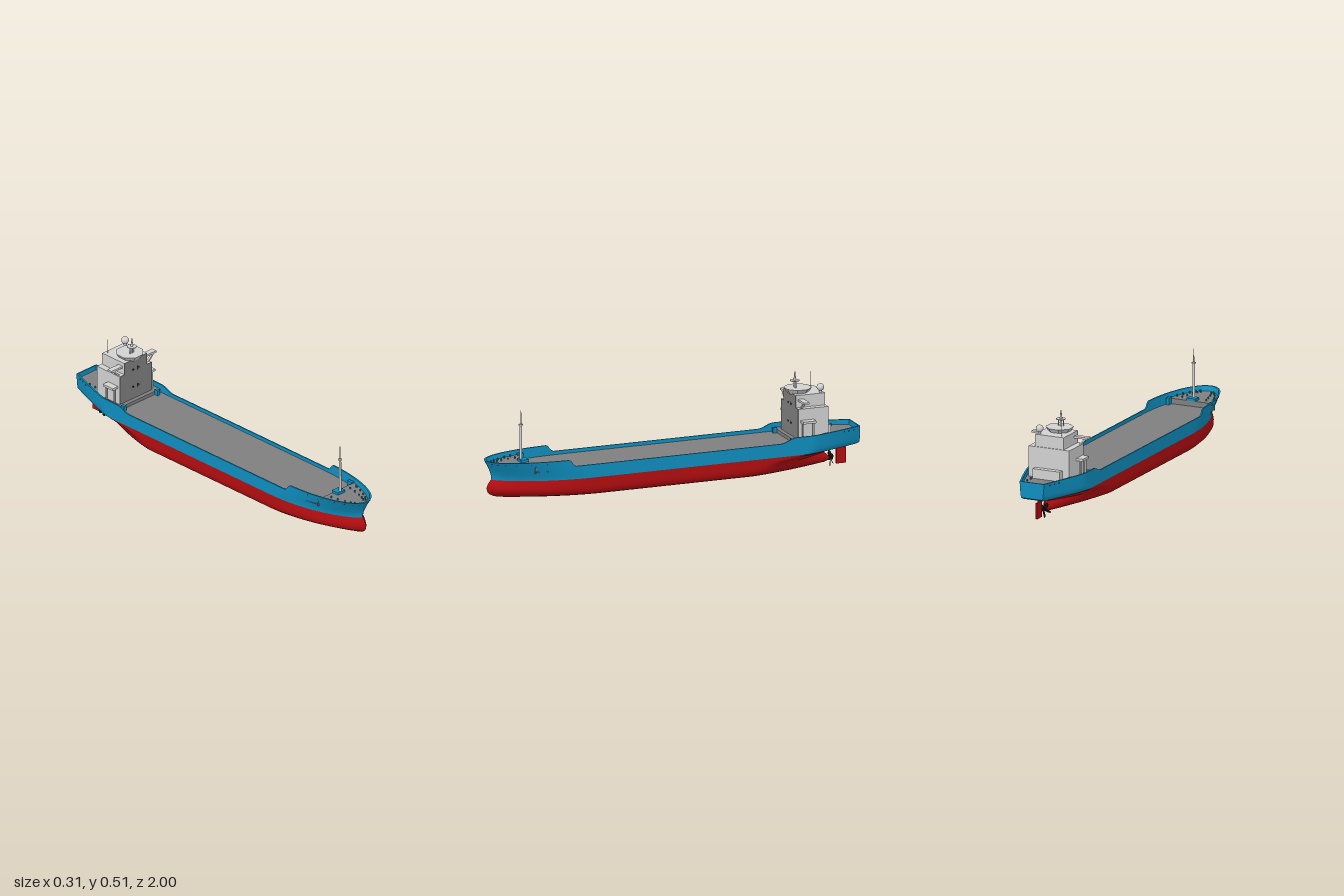
import * as THREE from 'three';
import { toCreasedNormals } from 'three/addons/utils/BufferGeometryUtils.js';

const mat = (name, color) => {
  const m = new THREE.MeshStandardMaterial({ color });
  m.name = name;
  return m;
};

export function createModel() {
  const ship = new THREE.Group();
  ship.name = 'cargoShip';
  const blue = mat('hullBlue', 0x0f8fc0), red = mat('hullRed', 0xb40d10);
  const grey = mat('deckGrey', 0x7f7f7f), white = mat('paleGrey', 0xd2d2d2);
  const black = mat('black', 0x141414), navy = mat('fairleadBlue', 0x0a4a66);

  const add = (name, geo, material, x = 0, y = 0, z = 0, parent = ship) => {
    const m = new THREE.Mesh(geo, material);
    m.name = name;
    m.position.set(x, y, z);
    parent.add(m);
    return m;
  };
  // box given by its min and max corners
  const box = (name, material, x0, x1, y0, y1, z0, z1) =>
    add(name, new THREE.BoxGeometry(x1 - x0, y1 - y0, z1 - z0), material, (x0 + x1) / 2, (y0 + y1) / 2, (z0 + z1) / 2);
  // upright round post from y0 to y1
  const post = (name, material, x, z, y0, y1, r0, r1 = r0, n = 12) =>
    add(name, new THREE.CylinderGeometry(r1, r0, y1 - y0, n), material, x, (y0 + y1) / 2, z);

  // ---- hull: waterlines [height, half width, bow z, bow length, p, q, stern z, transom half width, stern length, ps]
  const WL = 0.122, N = 160;
  const lower = [
    [0.026, 0.095, 0.89, 0.5, 1.8, 1.0, -0.80, 0.003, 0.42, 1.5],
    [0.030, 0.127, 0.93, 0.5, 1.8, 1.0, -0.83, 0.004, 0.45, 1.4],
    [0.038, 0.144, 0.957, 0.5, 1.8, 0.95, -0.85, 0.008, 0.45, 1.4],
    [0.050, 0.153, 0.978, 0.5, 1.9, 0.85, -0.86, 0.008, 0.45, 1.4],
    [0.065, 0.157, 0.988, 0.5, 2.0, 0.8, -0.85, 0.006, 0.42, 1.5],
    [0.082, 0.157, 0.99, 0.5, 2.0, 0.8, -0.83, 0.006, 0.38, 1.6],
    [0.100, 0.157, 0.983, 0.5, 2.0, 0.8, -0.87, 0.012, 0.36, 1.6],
    [0.112, 0.157, 0.974, 0.5, 2.0, 0.8, -0.94, 0.035, 0.34, 1.4],
    [WL, 0.157, 0.966, 0.5, 2.0, 0.78, -0.985, 0.055, 0.3, 1.25],
  ];
  // upper heights are fractions from the waterline to the sheer
  const upper = [
    [0, ...lower[8].slice(1)],
    [0.1, 0.157, 0.965, 0.5, 2.0, 0.75, -1, 0.06, 0.29, 1.2],
    [0.3, 0.157, 0.968, 0.48, 2.0, 0.7, -1, 0.063, 0.28, 1.15],
    [0.6, 0.157, 0.98, 0.46, 2.05, 0.6, -1, 0.066, 0.28, 1.15],
    [1, 0.157, 1, 0.45, 2.1, 0.5, -1, 0.068, 0.28, 1.15],
    [1, 0.150, 0.99, 0.45, 2.1, 0.5, -0.993, 0.061, 0.28, 1.15],
    [2, 0.149, 0.978, 0.45, 2.1, 0.54, -0.992, 0.060, 0.28, 1.15],
  ];
  const clamp = (v) => Math.min(1, Math.max(0, v));
  const halfWidth = ([, wm, zb, Lb, p, q, zs, tw, Ls, ps], z) => {
    const tb = clamp((z - zb + Lb) / Lb), ts = clamp((zs + Ls - z) / Ls);
    return ts > 0 ? tw + (wm - tw) * (1 - ts ** ps) : wm * Math.max(0, 1 - tb ** p) ** q;
  };
  const smooth = (a, b, z) => THREE.MathUtils.smoothstep(z, a, b);
  const sheer = (z) => 0.19 + 0.034 * smooth(0.57, 0.605, z) + 0.025 * (1 - smooth(-0.62, -0.54, z));
  const deckY = (z) => (z > 0.775 ? 0.2 : z < -0.625 ? 0.19 : 0.172);
  const upperY = (f, z) => (f > 1 ? deckY(z) - 0.004 : WL + (sheer(z) - WL) * f);

  const skin = (rows, yAt, bottom) => {
    const pos = [], idx = [], M = 2 * N + 2;
    for (const row of rows) {
      for (let j = 0; j < M; j++) {
        const i = j <= N ? j : M - 1 - j;
        const z = row[6] + (row[2] - row[6]) * (1 - (1 - i / N) ** 1.6);
        pos.push((j <= N ? 1 : -1) * halfWidth(row, z), yAt(row[0], z), z);
      }
    }
    for (let k = 0; k < rows.length - 1; k++) {
      for (let j = 0; j < M; j++) {
        const a = k * M + j, b = k * M + ((j + 1) % M), c = b + M, d = a + M;
        idx.push(a, d, c, a, c, b);
      }
    }
    if (bottom) {
      for (let i = 0; i < N; i++) {
        const l = i, r = M - 1 - i;
        idx.push(r, l, l + 1, r, l + 1, r - 1);
      }
    }
    const g = new THREE.BufferGeometry();
    g.setAttribute('position', new THREE.Float32BufferAttribute(pos, 3));
    g.setIndex(idx);
    return toCreasedNormals(g, 0.7);
  };
  add('lowerHull', skin(lower, (y) => y, true), red);
  add('upperHullAndBulwark', skin(upper, upperY, false), blue);

  // ---- decks, fitted to the inside of the bulwark
  const deck = (name, z0, z1, y) => {
    const s = new THREE.Shape(), pts = [], n = 60;
    for (let i = 0; i <= n; i++) {
      const z = z0 + (z1 - z0) * (1 - (1 - i / n) ** 2);
      pts.push([halfWidth(upper[6], z) + 0.003, z]);
    }
    pts.forEach(([x, z], i) => (i ? s.lineTo(x, -z) : s.moveTo(x, -z)));
    pts.reverse().forEach(([x, z]) => s.lineTo(-x, -z));
    const g = new THREE.ShapeGeometry(s);
    g.rotateX(-Math.PI / 2);
    add(name, g, grey, 0, y, 0);
  };
  deck('mainDeck', -0.625, 0.775, 0.172);
  deck('foredeck', 0.775, 0.978, 0.2);
  deck('aftDeck', -0.992, -0.625, 0.19);
  box('foredeckBulkhead', grey, -0.132, 0.132, 0.165, 0.2, 0.775, 0.78);
  box('aftDeckBulkhead', grey, -0.15, 0.15, 0.165, 0.19, -0.63, -0.625);

  // ---- accommodation block
  box('lowerHouse', white, -0.113, 0.113, 0.185, 0.347, -0.81, -0.65);
  box('upperHouse', white, -0.08, 0.08, 0.347, 0.41, -0.805, -0.65);
  box('aftHouse', white, -0.075, 0.075, 0.185, 0.24, -0.84, -0.81);
  box('lowerHouseFront', grey, -0.113, 0.113, 0.19, 0.347, -0.65, -0.647);
  box('upperHouseFront', grey, -0.08, 0.08, 0.347, 0.41, -0.65, -0.647);
  for (const y of [0.256, 0.354]) {
    for (const [x, h] of [[-0.021, 0.008], [-0.015, 0.008], [0.013, 0.02], [0.021, 0.008]])
      box('frontWindow', black, x - 0.0012, x + 0.0012, y - h / 2, y + h / 2, -0.647, -0.645);
  }
  for (const s of [-1, 1]) {
    const span = (a, b) => (s > 0 ? [a, b] : [-b, -a]);
    box('lowerWing', white, ...span(0.11, 0.15), 0.277, 0.289, -0.73, -0.66);
    for (const z of [-0.665, -0.722]) box('wingPost', white, ...span(0.128, 0.136), 0.185, 0.278, z - 0.004, z + 0.004);
    box('bridgeWing', white, ...span(0.08, 0.157), 0.38, 0.39, -0.69, -0.66);
    const brace = add('wingBrace', new THREE.BoxGeometry(0.008, 0.052, 0.012), white, s * 0.122, 0.364, -0.667);
    brace.rotation.z = -s * 0.8;
  }

  // ---- wheelhouse top, mast, dome and aerial
  const octagon = new THREE.CylinderGeometry(0.0715, 0.052, 0.028, 8);
  octagon.rotateY(Math.PI / 8);
  add('wheelhouse', toCreasedNormals(octagon, 0.4), white, 0, 0.417, -0.69);
  const mz = -0.675;
  for (const x of [-0.013, 0.013]) post('mastLeg', white, x, mz, 0.43, 0.467, 0.0025);
  post('mastColumn', white, 0, mz, 0.43, 0.467, 0.005);
  post('mastPlatform', white, 0, mz, 0.465, 0.469, 0.024, 0.024, 20);
  post('mastTop', white, 0, mz, 0.469, 0.513, 0.007, 0.002);
  post('domeStalk', white, 0.063, -0.787, 0.405, 0.425, 0.008);
  add('radarDome', new THREE.SphereGeometry(0.019, 24, 16), white, 0.063, 0.437, -0.787);
  post('aerial', white, -0.06, -0.785, 0.405, 0.487, 0.0018);

  // ---- foremast
  box('foremastBase', blue, -0.025, 0.025, 0.2, 0.213, 0.772, 0.815);
  post('foremast', white, 0, 0.805, 0.2, 0.39, 0.007, 0.006);
  post('foremastCap', white, 0, 0.805, 0.388, 0.393, 0.011);
  post('foremastTop', white, 0, 0.805, 0.39, 0.463, 0.003, 0.002);

  // ---- deck fittings and fairleads
  for (const s of [-1, 1]) {
    box('aftBracket', blue, s * 0.118 - 0.008, s * 0.118 + 0.008, 0.172, 0.2, -0.625, -0.603);
    box('foreBracket', blue, s * 0.116 - 0.008, s * 0.116 + 0.008, 0.172, 0.208, 0.745, 0.778);
    for (const z of [0.82, 0.86, 0.9, 0.93, 0.95]) {
      const w = halfWidth(upper[6], z);
      post('bollard', blue, s * (w - 0.012), z, 0.2, 0.21, 0.004);
      post('bollard', blue, s * w * 0.6, z - 0.01, 0.2, 0.21, 0.0035);
    }
    for (const z of [-0.86, -0.9]) post('aftBollard', blue, s * 0.075, z, 0.19, 0.2, 0.004);
    // dark openings along the bulwark at bow and stern
    for (const z of [0.72, 0.8, 0.87, 0.92, 0.955, 0.978, -0.9, -0.93, -0.96]) {
      const f = 0.87, y = upperY(f, z);
      const row = upper[3].map((v, k) => v + (upper[4][k] - v) * ((f - 0.6) / 0.4));
      const w = halfWidth(row, z), slope = (halfWidth(row, z + 0.003) - halfWidth(row, z - 0.003)) / 0.006;
      const hole = add('fairlead', new THREE.CylinderGeometry(0.0035, 0.0035, 0.004, 10), navy, s * w, y, z);
      hole.quaternion.setFromUnitVectors(new THREE.Vector3(0, 1, 0), new THREE.Vector3(s, 0, -slope).normalize());
    }
  }

  // ---- rudder and propeller
  box('rudder', red, -0.005, 0.005, 0.014, 0.096, -0.95, -0.897);
  box('rudderStock', red, -0.004, 0.004, 0.09, 0.125, -0.93, -0.91);
  const prop = new THREE.Group();
  prop.name = 'propeller';
  prop.position.set(0, 0.043, -0.867);
  ship.add(prop);
  const hub = new THREE.CylinderGeometry(0.008, 0.006, 0.024, 14);
  hub.rotateX(Math.PI / 2);
  add('propellerHub', hub, black, 0, 0, 0, prop);
  for (let i = 0; i < 5; i++) {
    const blade = new THREE.SphereGeometry(1, 14, 10);
    blade.scale(0.011, 0.019, 0.0015);
    blade.rotateY(0.6);
    blade.translate(0, 0.023, 0);
    blade.rotateZ((i / 5) * Math.PI * 2 + 0.5);
    add('propellerBlade', blade, black, 0, 0, 0, prop);
  }
  return ship;
}
